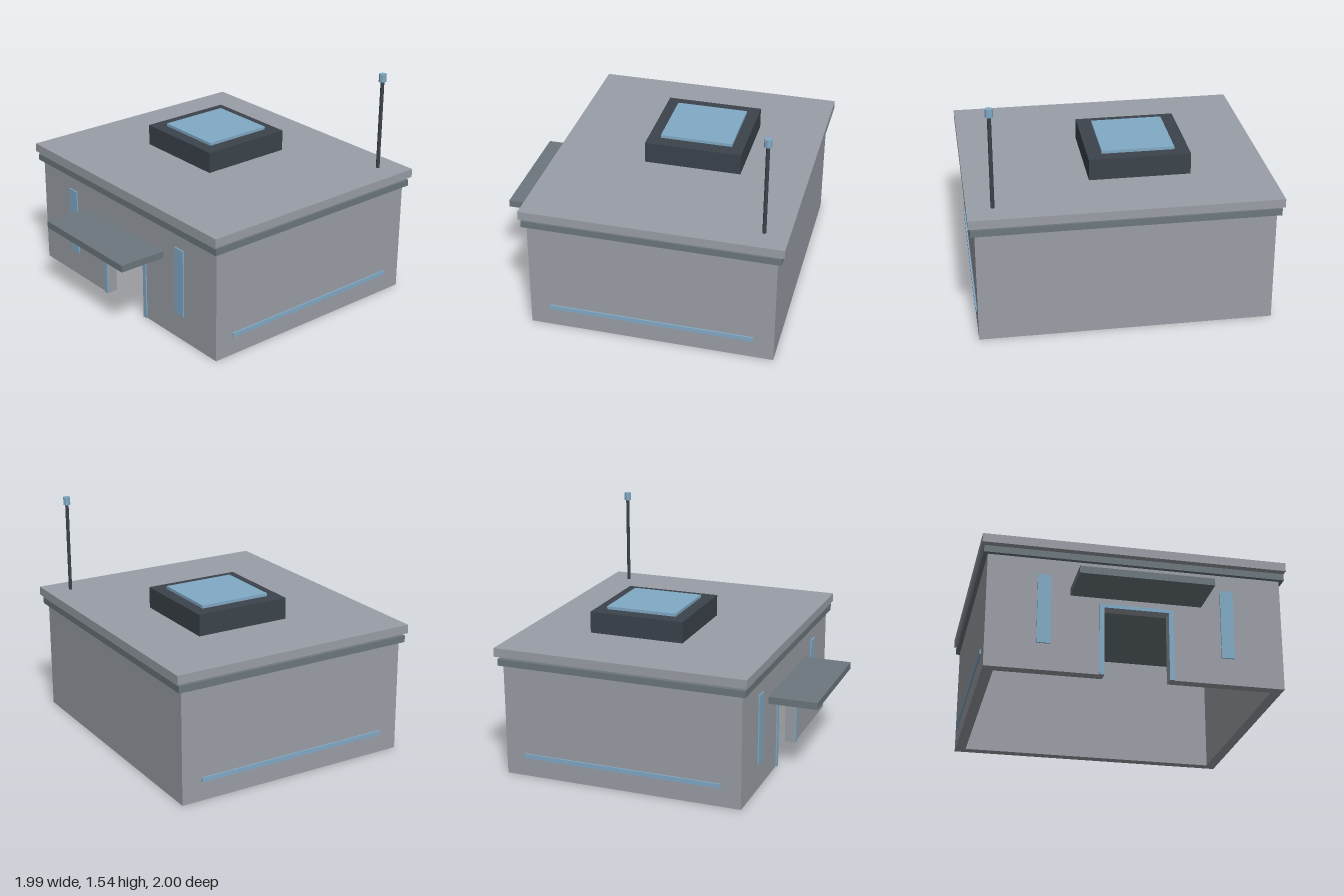
import * as THREE from 'three';

const mat = (name, color) => {
  const m = new THREE.MeshStandardMaterial({ color });
  m.name = name;
  return m;
};

export function createModel() {
  const concrete = mat('light concrete', 0x9a9ea6);
  const trim = mat('slate trim', 0x6c777d);
  const dark = mat('dark metal', 0x3b434b);
  const blue = mat('pale blue', 0x82aac6);

  const root = new THREE.Group();
  root.name = 'bunker';

  const add = (name, geometry, material) => {
    const mesh = new THREE.Mesh(geometry, material);
    mesh.name = name;
    root.add(mesh);
    return mesh;
  };
  // Box given by its limits on each axis
  const box = (name, material, [x0, x1], [y0, y1], [z0, z1]) =>
    add(name, new THREE.BoxGeometry(x1 - x0, y1 - y0, z1 - z0), material)
      .position.set((x0 + x1) / 2, (y0 + y1) / 2, (z0 + z1) / 2);
  // Upright cylinder between two heights
  const post = (name, material, radius, x, z, y0, y1) =>
    add(name, new THREE.CylinderGeometry(radius, radius, y1 - y0, 8).toNonIndexed(), material)
      .position.set(x, (y0 + y1) / 2, z);
  // Outline running around a doorway, open at the ground
  const arch = (w, h, doorW, doorH, depth) => new THREE.ExtrudeGeometry(
    new THREE.Shape([
      [-w, 0], [-doorW, 0], [-doorW, doorH], [doorW, doorH],
      [doorW, 0], [w, 0], [w, h], [-w, h],
    ].map(([x, y]) => new THREE.Vector2(x, y))),
    { depth, bevelEnabled: false },
  );

  const W = 0.953, FRONT = 0.672, BACK = -0.955, T = 0.07, H = 0.755;

  // Hollow shell, open underneath, with a doorway in front
  add('frontWall', arch(W, H, 0.207, 0.453, T), concrete).position.z = FRONT - T;
  box('backWall', concrete, [-W, W], [0, H], [BACK, BACK + T]);
  for (const [side, s] of [['left', 1], ['right', -1]]) {
    const span = (a, b) => (s > 0 ? [a, b] : [-b, -a]);
    box(`${side}Wall`, concrete, span(W - T, W), [0, H], [BACK + T, FRONT - T]);
    box(`${side}LightStrip`, blue, span(W, 0.963), [0.127, 0.157], [-0.82, 0.54]);
    box(`${side}Window`, blue, span(0.547, 0.633), [0.178, 0.645], [FRONT, 0.681]);
  }

  // Entrance
  add('doorFrame', arch(0.238, 0.477, 0.207, 0.453, 0.009), blue).position.z = FRONT;
  box('canopy', trim, [-0.425, 0.422], [0.518, 0.565], [FRONT, 1]);

  // Cornice and the roof slab floating just above it
  box('cornice', trim, [-0.98, 0.98], [H, 0.8], [-0.982, 0.7]);
  box('roofSlab', concrete, [-0.993, 0.993], [0.818, 0.876], [-1, 0.712]);

  // Skylight
  box('skylightBase', dark, [-0.478, 0.188], [0.8, 1.02], [-0.552, 0.1]);
  box('skylightPane', blue, [-0.383, 0.093], [1.02, 1.04], [-0.472, 0.016]);

  // Antenna
  post('antennaPole', dark, 0.0125, 0.828, -0.84, 0.8, 1.487);
  post('antennaTip', blue, 0.025, 0.828, -0.84, 1.487, 1.54);
  for (const m of root.children) {
    if (m.name.startsWith('antenna')) m.geometry.computeVertexNormals();
  }

  return root;
}
